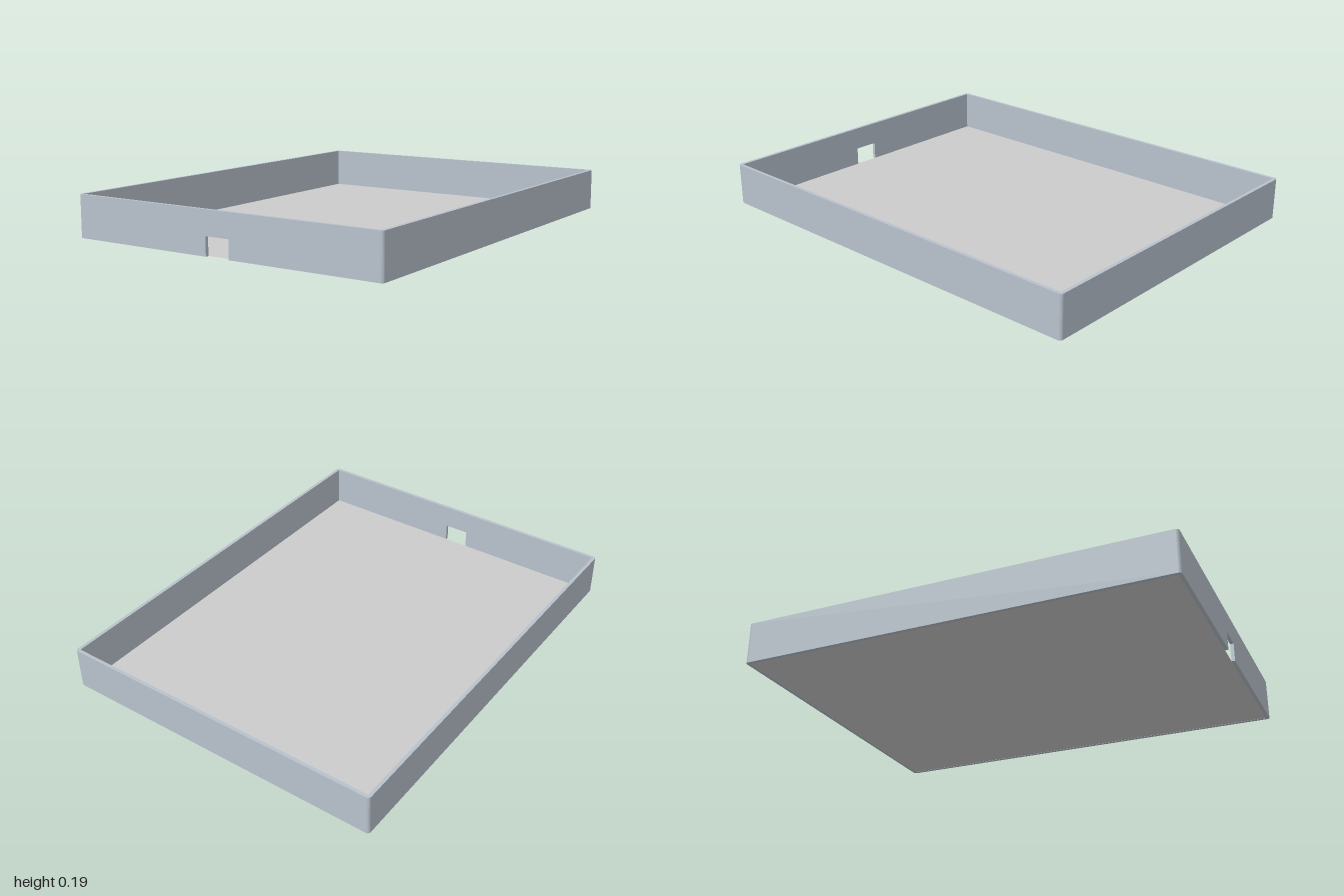
import * as THREE from 'three';

const HX = 0.785, HZ = 1, HEIGHT = 0.195, WALL = 0.016; // half width, half depth, height, wall thickness
const DOOR_HALF = 0.06, DOOR_H = 0.085, RADIUS = 0.015;

export function createModel() {
  const group = new THREE.Group();
  const wallMat = new THREE.MeshStandardMaterial({ color: 0xb8c2cc });
  const floorMat = new THREE.MeshStandardMaterial({ color: 0xcccccc, side: THREE.DoubleSide });
  const ix = HX - WALL, iz = HZ - WALL;

  const add = (name, geometry, material) => {
    const mesh = new THREE.Mesh(geometry, material);
    mesh.name = name;
    group.add(mesh);
    return mesh;
  };

  // Perimeter wall: a closed band with rounded outer corners and a gap for the doorway.
  // Drawn in plan with shape y = -z, so the front lies at y = -HZ.
  const plan = new THREE.Shape();
  plan.moveTo(DOOR_HALF, -HZ);
  plan.lineTo(HX - RADIUS, -HZ);
  plan.absarc(HX - RADIUS, -HZ + RADIUS, RADIUS, -Math.PI / 2, 0);
  plan.absarc(HX - RADIUS, HZ - RADIUS, RADIUS, 0, Math.PI / 2);
  plan.absarc(-HX + RADIUS, HZ - RADIUS, RADIUS, Math.PI / 2, Math.PI);
  plan.absarc(-HX + RADIUS, -HZ + RADIUS, RADIUS, Math.PI, Math.PI * 1.5);
  plan.lineTo(-DOOR_HALF, -HZ);
  plan.lineTo(-DOOR_HALF, -iz);
  plan.lineTo(-ix, -iz);
  plan.lineTo(-ix, iz);
  plan.lineTo(ix, iz);
  plan.lineTo(ix, -iz);
  plan.lineTo(DOOR_HALF, -iz);
  plan.closePath();
  const wall = new THREE.ExtrudeGeometry(plan, { depth: HEIGHT, bevelEnabled: false, curveSegments: 6 });
  wall.rotateX(-Math.PI / 2);
  add('perimeterWall', wall, wallMat);

  // Wall section above the doorway
  add('doorLintel', new THREE.BoxGeometry(DOOR_HALF * 2, HEIGHT - DOOR_H, WALL), wallMat)
    .position.set(0, (HEIGHT + DOOR_H) / 2, HZ - WALL / 2);

  // Thin floor sheet inside the walls
  const floor = new THREE.PlaneGeometry(ix * 2, iz * 2);
  floor.rotateX(-Math.PI / 2);
  add('floor', floor, floorMat).position.y = 0.001;

  return group;
}
